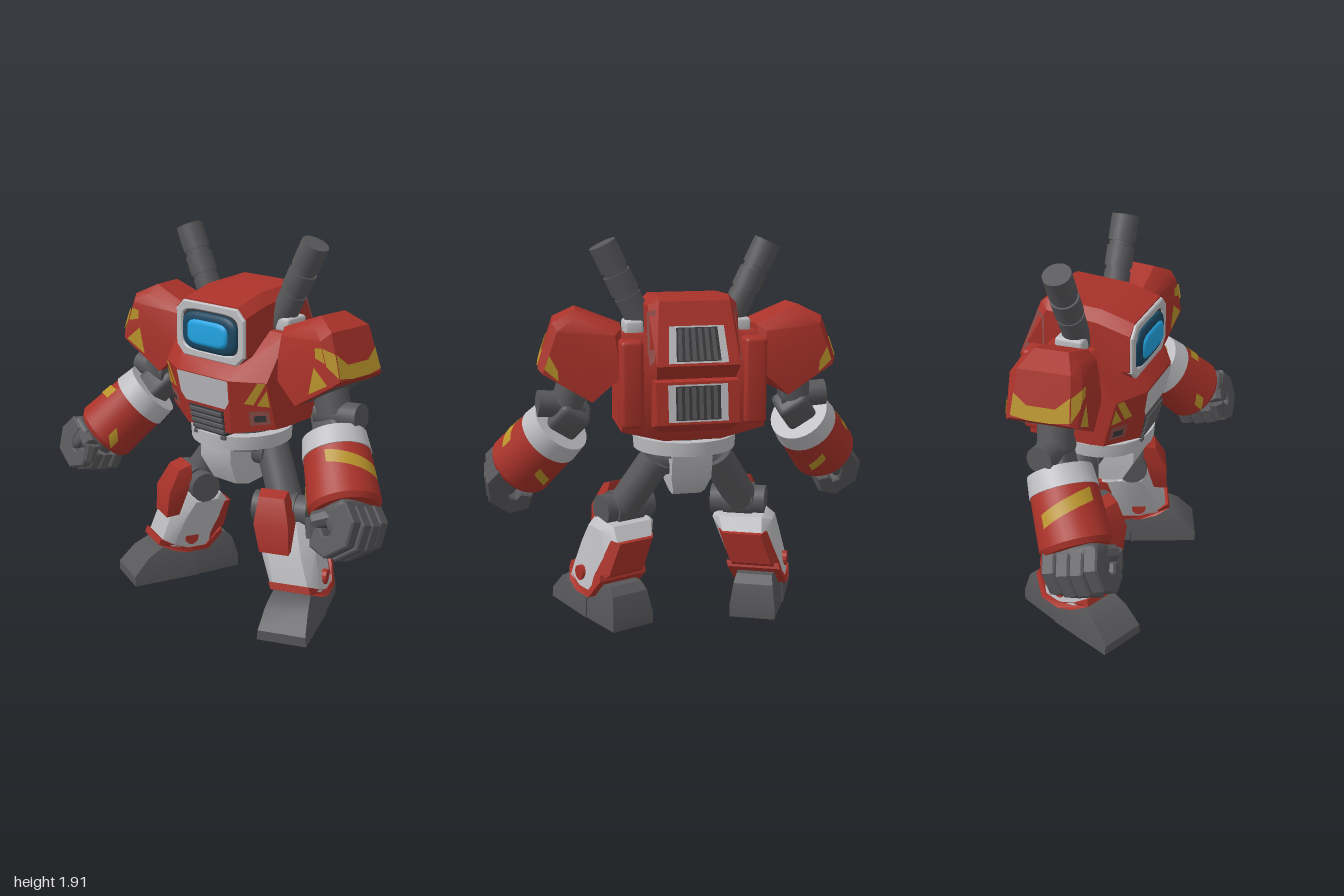
import * as THREE from 'three';
import { toCreasedNormals } from 'three/addons/utils/BufferGeometryUtils.js';
import { ConvexGeometry } from 'three/addons/geometries/ConvexGeometry.js';
import { RoundedBoxGeometry } from 'three/addons/geometries/RoundedBoxGeometry.js';

const V = (p) => new THREE.Vector3(...p);

export function createModel() {
  const paintOf = (name, color) => Object.assign(
    new THREE.MeshStandardMaterial({ color, side: THREE.DoubleSide }), { name });
  const red = paintOf('red armour', 0xa93229), grey = paintOf('dark grey metal', 0x57575a);
  const white = paintOf('light grey armour', 0xbdbcc0), yellow = paintOf('yellow marking', 0xb8922a);
  const blue = paintOf('blue visor', 0x22a4e2), navy = paintOf('navy glass', 0x1b4660);
  const dark = paintOf('dark vent', 0x3a3a3c), worn = paintOf('worn red', 0x91504b);

  // ---- helpers ----
  const mesh = (name, geo, mat, parent) => {
    const m = new THREE.Mesh(toCreasedNormals(geo, 0.5), mat);
    m.name = name;
    parent.add(m);
    return m;
  };
  const both = (pts) => pts.flatMap(([x, y, z]) => [[x, y, z], [-x, y, z]]);
  const deep = (pts) => pts.flatMap(([x, y, z]) => [[x, y, z], [x, y, -z]]);
  const hull = (pts) => new ConvexGeometry(pts.map(V));
  const tube = (name, mat, parent, a, b, r1, r2 = r1, seg = 20) => {
    const d = V(b).sub(V(a));
    const m = mesh(name, new THREE.CylinderGeometry(r2, r1, d.length(), seg), mat, parent);
    m.position.copy(V(a)).addScaledVector(d, 0.5);
    m.quaternion.setFromUnitVectors(V([0, 1, 0]), d.normalize());
  };
  const box = (name, mat, parent, [w, h, d], pos, r = 0.015) =>
    mesh(name, new RoundedBoxGeometry(w, h, d, 2, r), mat, parent).position.set(...pos);
  const shapeOf = (pts) => new THREE.Shape(pts.map(([x, y]) => new THREE.Vector2(x, y)));
  // rounded rectangle outline
  const rounded = (w, h) => Array.from({ length: 40 }, (_, i) => {
    const c = Math.cos(i * Math.PI / 20), s = Math.sin(i * Math.PI / 20);
    return [w * Math.sign(c) * Math.abs(c) ** 0.42, h * Math.sign(s) * Math.abs(s) ** 0.42];
  });
  const octagon = (w, h, c) => [[w - c, -h], [w, c - h], [w, h - c], [w - c, h],
    [c - w, h], [-w, h - c], [-w, c - h], [c - w, -h]];
  // profile of [z, y] pairs swept across x
  const across = (pts, half) => new THREE.ExtrudeGeometry(shapeOf(pts), { depth: 2 * half, bevelEnabled: false })
    .translate(0, 0, -half).rotateY(-Math.PI / 2);
  // flat marking on a quad (corners: bottom left, bottom right, top right, top left, seen from outside)
  const mark = (name, mat, parent, quad, uv, lift = 0.005) => {
    const [a, b, c, d] = quad.map(V);
    const n = b.clone().sub(a).cross(d.clone().sub(a)).normalize();
    const g = new THREE.ShapeGeometry(shapeOf(uv)), p = g.attributes.position;
    for (let i = 0; i < p.count; i++) {
      const u = p.getX(i), v = p.getY(i);
      const q = a.clone().lerp(b, u).lerp(d.clone().lerp(c, u), v).addScaledVector(n, lift);
      p.setXYZ(i, q.x, q.y, q.z);
    }
    mesh(name, g, mat, parent);
  };
  const rect = (u0, v0, u1, v1) => [[u0, v0], [u1, v0], [u1, v1], [u0, v1]];
  // move x by a rule of x, y and z
  const bendX = (g, rule) => {
    const p = g.attributes.position;
    for (let i = 0; i < p.count; i++) p.setX(i, rule(p.getX(i), p.getY(i), p.getZ(i)));
    return g;
  };
  const mirrored = (group) => {
    const out = new THREE.Group();
    group.updateMatrixWorld(true);
    group.traverse((o) => {
      if (!o.isMesh) return;
      const g = o.geometry.clone().applyMatrix4(o.matrixWorld).applyMatrix4(new THREE.Matrix4().makeScale(-1, 1, 1));
      for (const { array, itemSize: s } of Object.values(g.attributes))
        for (let i = 0; i < array.length; i += 3 * s)
          for (let k = 0; k < s; k++)
            [array[i + s + k], array[i + 2 * s + k]] = [array[i + 2 * s + k], array[i + s + k]];
      const m = new THREE.Mesh(g, o.material);
      m.name = o.name;
      out.add(m);
    });
    return out;
  };
  const groupIn = (name, parent, pos) => {
    const g = new THREE.Group();
    g.name = name;
    g.position.set(...pos);
    parent.add(g);
    return g;
  };

  const model = new THREE.Group();
  model.name = 'robot';
  const torso = groupIn('torso', model, [0, 0, 0]), side = groupIn('leftSide', model, [0, 0, 0]);

  // ---- torso ----
  const A = [0.17, 1.24, 0.26], B = [0.33, 1.24, 0.17], C = [0.34, 1.0, 0.11], D = [0.14, 0.96, 0.213];
  const flip = ([x, y, z]) => [-x, y, z];
  mesh('chest', hull(both([A, B, C, D, [0.18, 1.31, 0.2], [0.33, 1.45, 0.02], [0.33, 1.46, -0.2],
    [0.35, 1.3, -0.28], [0.35, 1.0, 0.05], [0.35, 1.0, -0.27], [0.14, 0.94, 0.1], [0.14, 0.94, -0.24]])), red, torso);
  mesh('cockpitShell', hull(both([[0.17, 1.585, 0.195], [0.225, 1.54, 0.195], [0.225, 1.36, 0.195], [0.18, 1.3, 0.195],
    [0.17, 1.63, 0.03], [0.22, 1.58, 0.03], [0.17, 1.645, -0.24], [0.215, 1.6, -0.23], [0.17, 1.62, -0.28],
    [0.2, 1.33, -0.39], [0.19, 1.26, -0.33], [0.21, 1.26, -0.2]])), red, torso);
  mesh('lowerBackpack', hull(both([[0.2, 1.25, -0.36], [0.2, 1.05, -0.385], [0.17, 1.0, -0.31],
    [0.21, 1.25, -0.2], [0.21, 1.0, -0.2]])), red, torso);

  // window
  const frame = shapeOf(octagon(0.215, 0.132, 0.045));
  frame.holes.push(new THREE.Path(rounded(0.187, 0.106).map((p) => new THREE.Vector2(...p))));
  mesh('windowFrame', new THREE.ExtrudeGeometry(frame, { depth: 0.025, bevelSize: 0.006, bevelThickness: 0.006, bevelSegments: 1 }),
    white, torso).position.set(0, 1.44, 0.18);
  mesh('windowRecess', new THREE.ShapeGeometry(shapeOf(rounded(0.195, 0.115))), dark, torso).position.set(0, 1.44, 0.199);
  const dome = (name, mat, w, h, z, bevel) => mesh(name, new THREE.ExtrudeGeometry(shapeOf(rounded(w - bevel, h - bevel)),
    { depth: 0.004, bevelSize: bevel, bevelThickness: 0.02, bevelSegments: 4 }), mat, torso).position.set(0, 1.435, z);
  dome('visorGlass', navy, 0.177, 0.097, 0.2, 0.035);
  dome('visorLens', blue, 0.132, 0.064, 0.213, 0.022);

  // chest plate, grille and slats
  const front = [flip(D), D, A, flip(A)];
  mark('chestPlate', white, torso, front, [[0.08, 0.46], [0.92, 0.46], [1, 0.6], [0.99, 1], [0.01, 1], [0, 0.6]], 0.007);
  mesh('grille', hull(both([[0.11, 1.07, 0.242], [0.1, 0.9, 0.2], [0.11, 1.07, 0.1], [0.1, 0.9, 0.05]])), dark, torso);
  for (let i = 0; i < 5; i++)
    box('grilleSlat', grey, torso, [0.21, 0.02, 0.03], [0, 0.925 + i * 0.032, 0.202 + i * 0.0078], 0.004);

  // back vents
  const vent = (quad) => {
    mark('ventFrame', white, torso, quad, rect(0.14, 0.06, 0.86, 0.94), 0.004);
    mark('ventPanel', dark, torso, quad, rect(0.23, 0.1, 0.77, 0.9), 0.006);
    for (let i = 0; i < 6; i++)
      mark('ventSlat', grey, torso, quad, rect(0.25 + i * 0.086, 0.12, 0.3 + i * 0.086, 0.88), 0.009);
  };
  vent([[0.2, 1.33, -0.39], [-0.2, 1.33, -0.39], [-0.18, 1.52, -0.318], [0.18, 1.52, -0.318]]);
  vent([[0.2, 1.05, -0.385], [-0.2, 1.05, -0.385], [-0.2, 1.25, -0.36], [0.2, 1.25, -0.36]]);

  // waist and pelvis
  tube('waist', grey, torso, [0, 0.84, -0.03], [0, 1.0, -0.03], 0.2, 0.2, 24);
  tube('belt', white, torso, [0, 0.865, -0.03], [0, 0.935, -0.03], 0.255, 0.26, 24);
  tube('hipAxle', grey, torso, [-0.17, 0.8, -0.06], [0.17, 0.8, -0.06], 0.075);
  mesh('pelvis', bendX(across([[0.17, 0.9], [0.17, 0.78], [0.1, 0.65], [0, 0.62], [-0.09, 0.625], [-0.16, 0.66],
    [-0.22, 0.74], [-0.25, 0.88]], 0.1), (x, y) => x * Math.min(1, 0.7 + (y - 0.62) * 2.5)), white, torso);

  // ---- one side: chest details and cannon ----
  const cheek = [D, C, B, A];
  mark('chestStripe', yellow, side, cheek, [[0.36, 0.58], [0.58, 0.55], [0.98, 1], [0.76, 1]]);
  mark('chestTriangle', yellow, side, cheek, [[0.66, 0.53], [0.97, 0.5], [0.97, 0.86]]);
  mark('chestVentFrame', worn, side, cheek, rect(0.45, 0.13, 0.92, 0.42), 0.004);
  mark('chestVent', dark, side, cheek, rect(0.56, 0.2, 0.84, 0.33), 0.007);
  mark('backpackWear', worn, side, [[0.21, 1.29, -0.24], [0.201, 1.34, -0.385], [0.178, 1.6, -0.287], [0.216, 1.58, -0.24]],
    rect(0.05, 0.05, 0.95, 0.95), 0.008);
  box('sidePod', red, side, [0.11, 0.42, 0.16], [0.3, 1.23, -0.225], 0.02);
  box('cannonBracket', white, side, [0.09, 0.07, 0.14], [0.265, 1.48, -0.08]);
  const cannon = groupIn('cannon', side, [0.2, 1.45, -0.07]);
  cannon.rotation.set(-0.03, 0, -0.45);
  for (const [y0, y1, r] of [[0, 0.2, 0.065], [0.19, 0.22, 0.06], [0.22, 0.32, 0.069], [0.32, 0.345, 0.06],
    [0.345, 0.475, 0.068]])
    tube('cannonBarrel', grey, cannon, [0, y0, 0], [0, y1, 0], r);

  // ---- shoulder and upper arm ----
  tube('shoulderJoint', grey, side, [0.3, 1.33, -0.06], [0.48, 1.33, -0.05], 0.1);
  tube('upperArm', grey, side, [0.5, 1.35, -0.05], [0.58, 1.1, -0.03], 0.085);
  const pad = groupIn('shoulderPad', side, [0.52, 1.36, -0.055]);
  pad.rotation.set(0, -0.1, 0.49);
  const low = [0.12, -0.152, 0.17], lowOut = [0.153, -0.142, 0.14], up = [0.15, 0.06, 0.17], upOut = [0.19, 0.08, 0.125];
  const back = ([x, y, z]) => [x, y, -z];
  const inLow = [-0.15, -0.168, 0.17], inUp = [-0.215, 0, 0.17];
  mesh('padShell', hull(deep([inLow, low, lowOut, inUp, up, upOut, [-0.115, 0.205, 0.1], [0.12, 0.18, 0.08],
    [-0.1, 0.165, 0.15], [0.11, 0.135, 0.14]])), red, pad);
  mark('padLining', grey, pad, [back(inLow), back(low), low, inLow], rect(0.08, 0.1, 0.96, 0.9), 0.004);
  mark('padBand', yellow, pad, [lowOut, back(lowOut), back(upOut), upOut],
    [[0, 0.06], [0.3, 0], [0.7, 0], [1, 0.06], [1, 0.52], [0.75, 0.3], [0.25, 0.3], [0, 0.56]]);
  mark('padEdgeStripe', yellow, pad, [low, lowOut, upOut, up], [[0, 0.45], [1, 0.06], [1, 0.56], [0, 0.85]], 0.009);
  mark('padFrontStripe', yellow, pad, [inLow, low, up, inUp], [[0.84, 0.75], [1, 0.52], [1, 0.85], [0.88, 0.95]]);
  mark('padTriangle', yellow, pad, [inLow, low, up, inUp], [[0.45, 0.1], [0.93, 0.07], [0.76, 0.6]]);
  mark('padBackStripe', yellow, pad, [back(low), back(inLow), back(inUp), back(up)],
    [[0, 0.12], [0.3, 0.05], [0.22, 0.25], [0, 0.45]]);

  // ---- elbow, sleeve and fist: local -y runs down the forearm ----
  tube('elbowJoint', grey, side, [0.5, 1.09, -0.02], [0.73, 1.11, -0.04], 0.065);
  const arm = groupIn('forearm', side, [0.605, 0.998, 0.0]);
  arm.quaternion.setFromUnitVectors(V([0, -1, 0]), V([0.21, -0.26, 0.18]).normalize());
  box('elbowFork', grey, arm, [0.16, 0.2, 0.15], [0, 0.04, 0], 0.03);
  tube('cuff', white, arm, [0, -0.11, 0], [0, -0.01, 0], 0.165, 0.155, 28);
  tube('sleeve', red, arm, [0, -0.36, 0], [0, -0.11, 0], 0.172, 0.16, 28);
  tube('sleeveRim', red, arm, [0, -0.385, 0], [0, -0.36, 0], 0.155, 0.172, 28);
  tube('wrist', grey, arm, [0, -0.44, 0], [0, -0.3, 0], 0.095);
  // painted patches: start angle, arc, place along the arm, width, slant
  for (const [start, arc, y, h, slant] of [[0.3, 1.6, -0.205, 0.065, -0.08], [-1.05, 0.35, -0.31, 0.06, 0.05],
    [3.2, 0.6, -0.24, 0.05, -0.06]]) {
    const g = new THREE.CylinderGeometry(0.172, 0.172, h, 12, 1, true, start, arc);
    const p = g.attributes.position;
    for (let i = 0; i < p.count; i++) {
      const py = p.getY(i) + y + slant * ((i % 13) / 12 - 0.5);
      const k = (0.159 - py * 0.048) / 0.172;
      p.setXYZ(i, p.getX(i) * k, py, p.getZ(i) * k);
    }
    mesh('sleeveMarking', g, yellow, arm);
  }
  const hand = groupIn('hand', arm, [0.005, -0.395, 0.02]);
  hand.rotation.x = 0.22;
  box('palm', grey, hand, [0.14, 0.14, 0.27], [0.035, -0.04, 0], 0.03);
  const finger = shapeOf([[0.105, -0.02], [0.115, -0.11], [0.045, -0.195], [-0.08, -0.2], [-0.135, -0.13], [-0.11, -0.06],
    [-0.065, -0.08], [-0.06, -0.12], [-0.02, -0.13], [0.02, -0.09], [0.03, -0.02]]);
  for (let i = 0; i < 4; i++)
    mesh('finger', new THREE.ExtrudeGeometry(finger, { depth: 0.053, bevelSize: 0.008, bevelThickness: 0.008, bevelSegments: 1 }),
      grey, hand).position.set(0, i % 3 ? 0 : 0.015, -0.135 + i * 0.071);
  tube('thumbBase', grey, hand, [0.01, -0.02, 0.09], [-0.09, -0.01, 0.12], 0.045, 0.04, 8);
  tube('thumbTip', grey, hand, [-0.09, 0, 0.12], [-0.13, -0.08, 0.11], 0.042, 0.032, 8);

  // ---- leg ----
  tube('thigh', grey, side, [0.15, 0.82, -0.09], [0.31, 0.56, -0.02], 0.085);
  const leg = groupIn('lowerLeg', side, [0.42, 0, 0.01]);
  leg.rotation.y = 0.4;
  const lean = (g, k = 0.3) => bendX(g, (x, y) => x - (y - 0.2) * k);
  mesh('toe', hull(both([[0.125, 0, 0.31], [0.12, 0.05, 0.31], [0.108, 0.14, 0.225], [0.095, 0.19, 0.13], [0.1, 0.2, -0.05],
    [0.125, 0.09, -0.05], [0.13, 0, -0.05]])), grey, leg);
  mesh('heel', hull(both([[0.125, 0, -0.052], [0.12, 0.09, -0.052], [0.1, 0.2, -0.052], [0.09, 0.21, -0.23],
    [0.1, 0.17, -0.27], [0.115, 0.06, -0.3], [0.115, 0, -0.3]])), grey, leg);
  mesh('shin', lean(hull(both([[0.09, 0.21, 0.145], [0.128, 0.19, 0.09], [0.085, 0.36, 0.11], [0.145, 0.38, 0.04],
    [0.085, 0.52, 0.04], [0.155, 0.47, 0.0], [0.13, 0.51, -0.03], [0.155, 0.47, -0.12], [0.11, 0.49, -0.16], [0.1, 0.42, -0.215],
    [0.11, 0.27, -0.185], [0.128, 0.16, -0.03], [0.128, 0.16, -0.1]]))), white, leg);
  mesh('shinRim', lean(bendX(across([[0.165, 0.205], [0.155, 0.24], [0.09, 0.205], [0, 0.165], [-0.1, 0.165], [-0.18, 0.26],
    [-0.19, 0.23], [-0.12, 0.135], [0, 0.135], [0.09, 0.165]], 0.134),
  (x, y, z) => x * (1 - Math.max(0, z - 0.08) * 3))), red, leg);
  mesh('calfPanel', lean(hull(both([[0.125, 0.43, -0.185], [0.095, 0.42, -0.232], [0.1, 0.26, -0.21],
    [0.13, 0.19, -0.12], [0.13, 0.24, -0.12]]))), red, leg);
  tube('ankleBolt', red, leg, [-0.15, 0.235, -0.01], [0.142, 0.23, -0.01], 0.038, 0.038, 12);
  tube('kneeAxle', grey, leg, [-0.25, 0.55, -0.05], [0.03, 0.55, -0.05], 0.078);
  tube('kneeCore', grey, leg, [-0.18, 0.55, -0.05], [-0.03, 0.55, -0.05], 0.09);
  mesh('kneeCap', lean(hull(both([[0.075, 0.385, 0.14], [0.075, 0.39, 0.07], [0.088, 0.53, 0.135], [0.098, 0.52, 0.04],
    [0.065, 0.65, 0.075], [0.07, 0.67, 0.01], [0.085, 0.6, 0.01]])).translate(-0.07, 0, 0), 0.13), red, leg);

  const other = mirrored(side);
  other.name = 'rightSide';
  model.add(other);
  return model;
}
